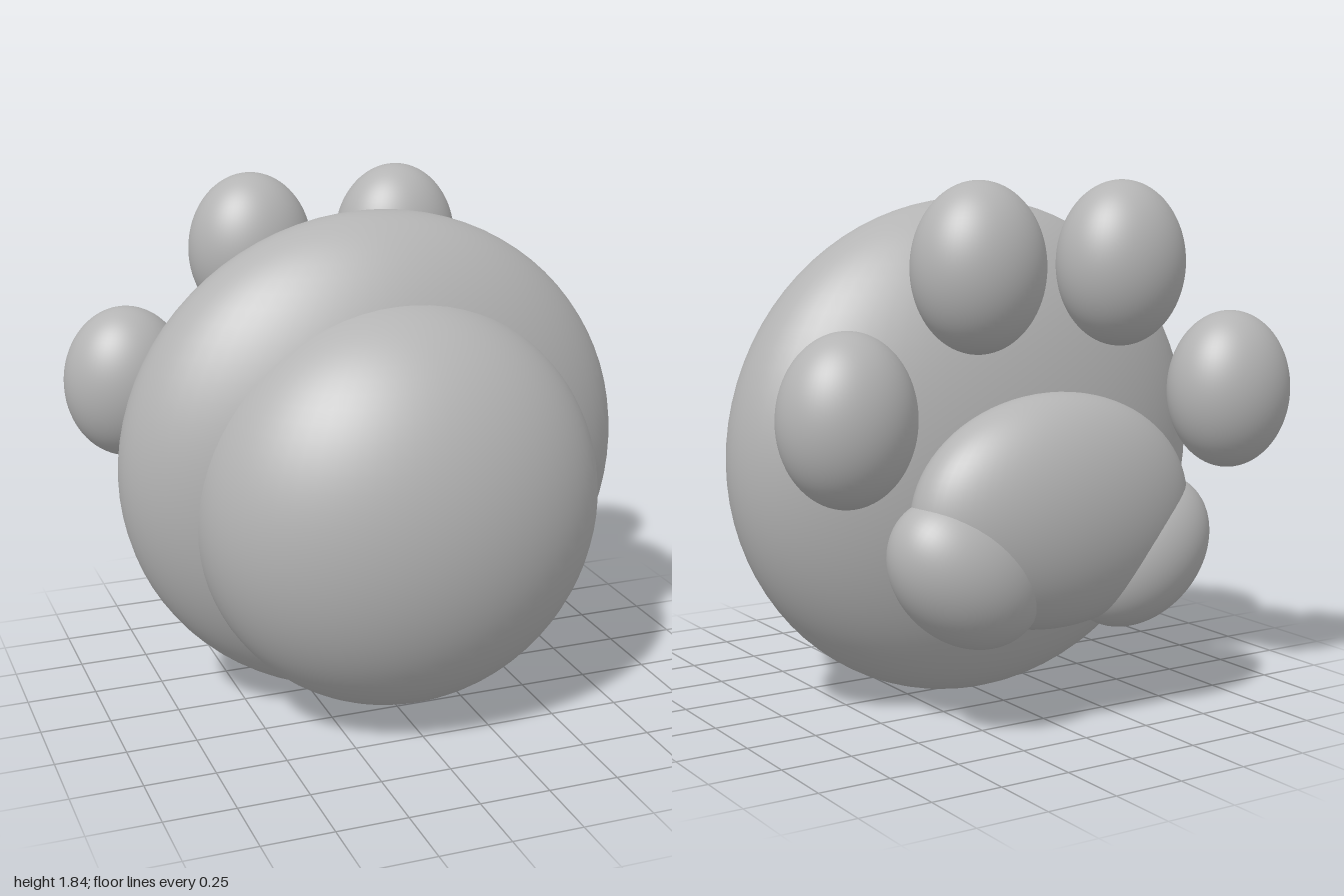
import * as THREE from 'three';

export function createModel() {
  const group = new THREE.Group();
  group.name = 'paw';
  const grey = new THREE.MeshStandardMaterial({ color: 0xb4b4b4 });
  grey.name = 'plain grey';
  const sphere = new THREE.SphereGeometry(1, 64, 40);

  // Every part is a smooth ellipsoid: centre, radii and an optional tilt about z
  function ellipsoid(name, centre, radii, tilt = 0) {
    const mesh = new THREE.Mesh(sphere, grey);
    mesh.name = name;
    mesh.position.set(...centre);
    mesh.scale.set(...radii);
    mesh.rotation.z = tilt;
    group.add(mesh);
  }

  // Flattened palm and the rounded front
  ellipsoid('palm', [0, 0.89, -0.01], [0.925, 0.885, 0.45]);
  ellipsoid('roundedFront', [0, 0.79, 0.26], [0.725, 0.725, 0.525]);

  // Large pad on the back
  ellipsoid('mainPad', [0, 0.74, -0.55], [0.54, 0.4, 0.24]);

  // Mirrored pad lobes and toe beans
  for (const [side, s] of [['left', 1], ['right', -1]]) {
    ellipsoid(side + 'PadLobe', [s * 0.35, 0.57, -0.555], [0.3, 0.23, 0.21], s * 0.7);
    ellipsoid(side + 'InnerToe', [s * 0.285, 1.56, -0.53], [0.23, 0.28, 0.2]);
    ellipsoid(side + 'OuterToe', [s * 0.77, 1.1, -0.53], [0.23, 0.28, 0.2]);
  }
  return group;
}
